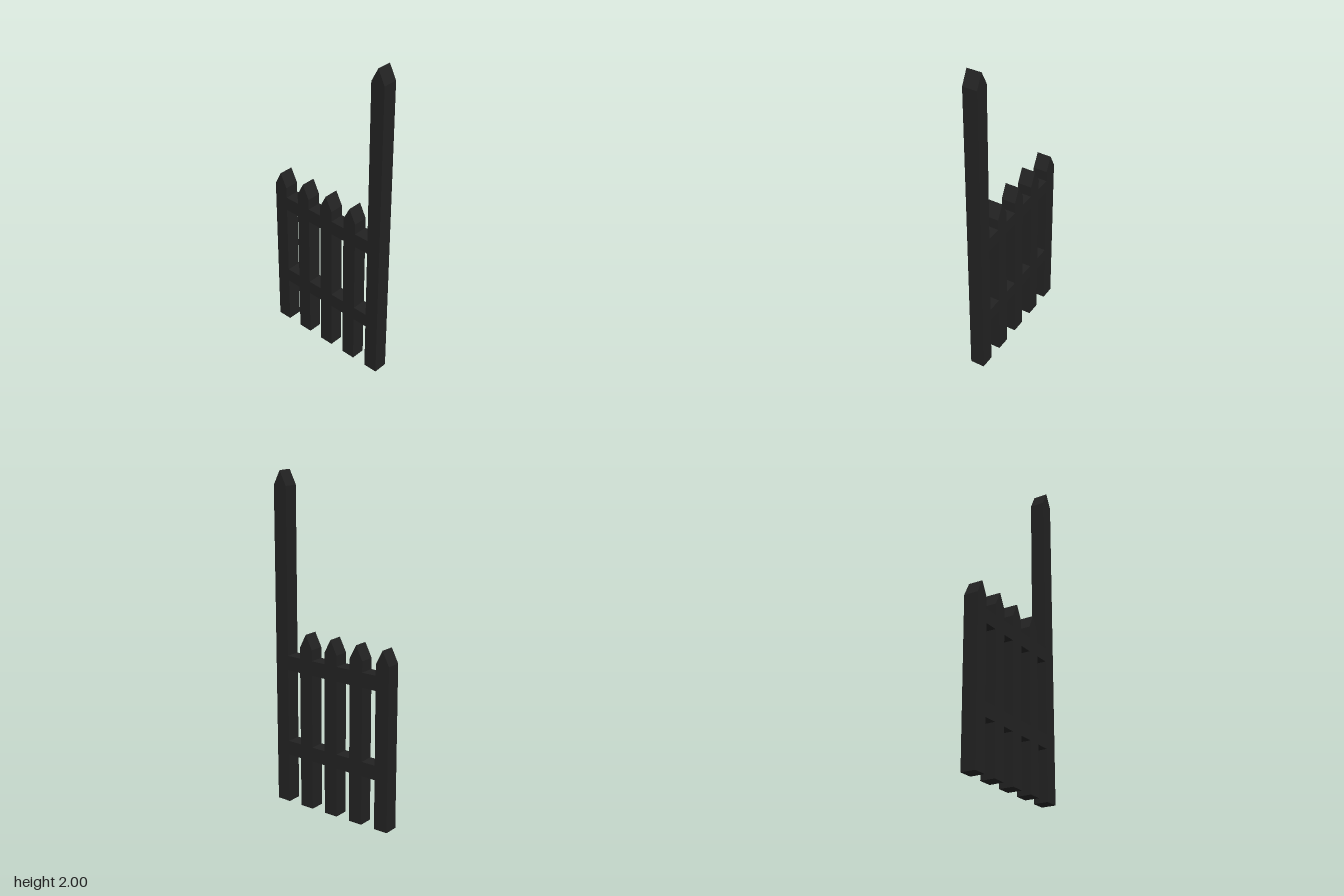
import * as THREE from 'three';

const W = 0.088; // square section of posts and rails
const PITCH = 0.18; // spacing between posts
const TIP = 0.085; // height of the pointed top

export function createModel() {
  const group = new THREE.Group();
  group.name = 'picketFence';
  const material = new THREE.MeshStandardMaterial({ color: 0x222222, flatShading: true });

  const add = (name, geometry, x, y) => {
    const mesh = new THREE.Mesh(geometry, material);
    mesh.name = name;
    mesh.position.set(x, y, 0);
    group.add(mesh);
  };

  // Post with a gabled point, ridge running front to back
  const postGeometry = (height) => {
    const h = W / 2;
    const shape = new THREE.Shape([
      new THREE.Vector2(-h, 0),
      new THREE.Vector2(h, 0),
      new THREE.Vector2(h, height - TIP),
      new THREE.Vector2(0, height),
      new THREE.Vector2(-h, height - TIP),
    ]);
    return new THREE.ExtrudeGeometry(shape, { depth: W, bevelEnabled: false }).translate(0, 0, -h);
  };

  // Four short pickets and one tall post at the model's left end
  for (let i = -2; i <= 2; i++) {
    const tall = i === 2;
    add(tall ? 'tallPost' : `picket${i + 3}`, postGeometry(tall ? 2 : 1.075), i * PITCH, 0);
  }

  // Rail pieces filling the gaps between posts, flush front and back
  for (const [name, y] of [['lowerRail', 0.348], ['upperRail', 0.88]]) {
    for (let i = 0; i < 4; i++) {
      add(`${name}${i + 1}`, new THREE.BoxGeometry(PITCH - W, W, W), (i - 1.5) * PITCH, y);
    }
  }
  return group;
}
